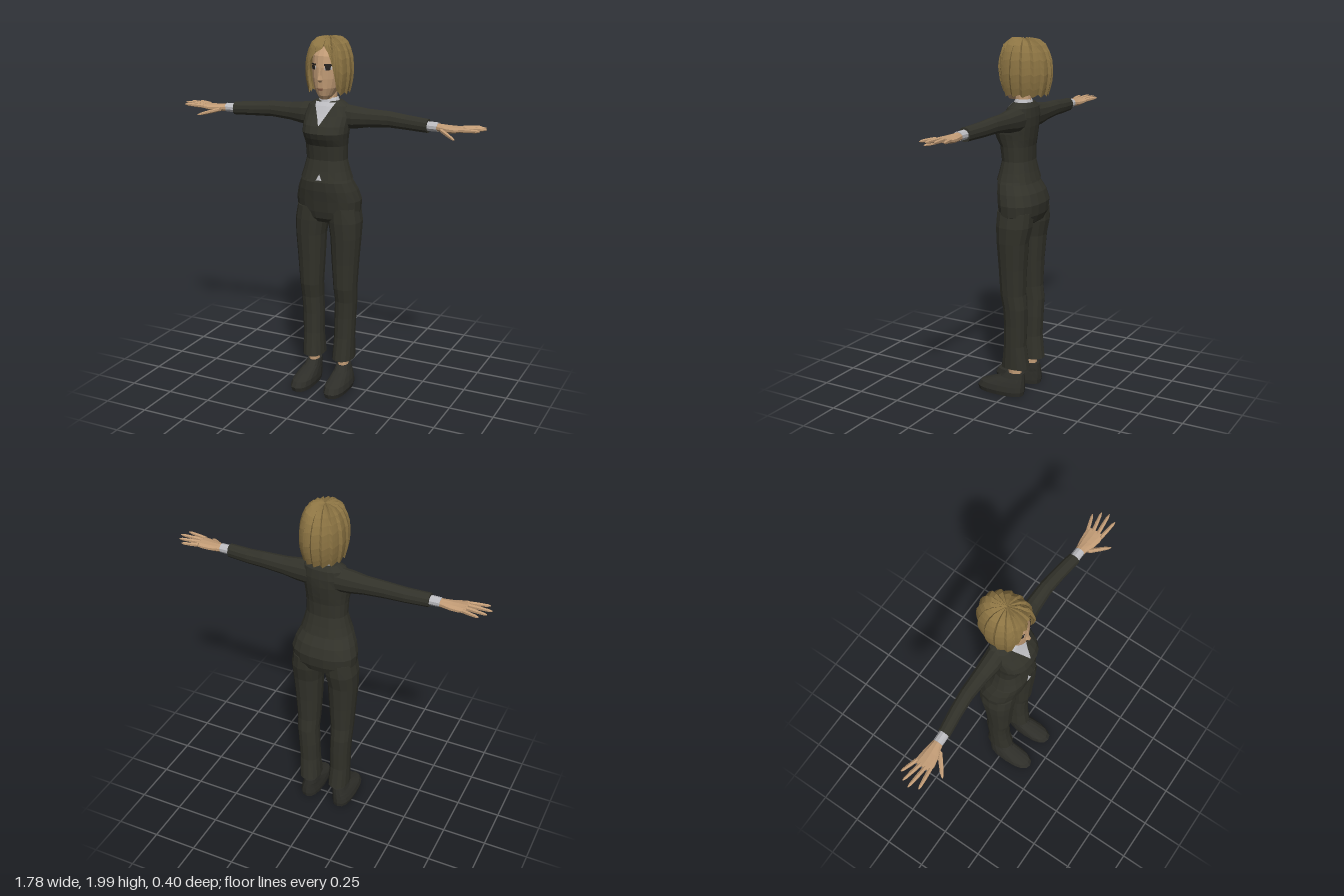
import * as THREE from 'three';

const mat = (name, color, side = THREE.FrontSide) => {
  const m = new THREE.MeshStandardMaterial({ color, side });
  m.name = name;
  return m;
};

// Superellipse cross-section across the y axis: [y, centre x, half width, front z, back z]
const ringY = ([y, cx, rx, zf, zb], e, n) => section(e, n, (c, s) =>
  new THREE.Vector3(cx + rx * c, y, (zf + zb) / 2 + (zf - zb) / 2 * s));
// Cross-section across the x axis: [x, centre y, centre z, half height, half depth]
const ringX = ([x, cy, cz, ry, rz], e, n) => section(e, n, (c, s) =>
  new THREE.Vector3(x, cy + ry * c, cz + rz * s));

function section(e, n, place) {
  const pow = v => Math.sign(v) * Math.abs(v) ** e;
  return Array.from({ length: n }, (_, i) => {
    const a = (i / n) * Math.PI * 2;
    return place(pow(Math.cos(a)), pow(Math.sin(a)));
  });
}

function facets(tris) {
  const g = new THREE.BufferGeometry().setFromPoints(tris);
  g.computeVertexNormals();
  return g;
}

// Closed, faceted skin over a list of sections, always facing outwards
function loft(rings) {
  const t = [], n = rings[0].length;
  for (let r = 0; r < rings.length - 1; r++) for (let i = 0; i < n; i++) {
    const j = (i + 1) % n, [a, b, c, d] = [rings[r][i], rings[r][j], rings[r + 1][j], rings[r + 1][i]];
    t.push(a, c, b, a, d, c);
  }
  const first = rings[0], last = rings[rings.length - 1];
  for (let i = 1; i < n - 1; i++) {
    t.push(first[0], first[i], first[i + 1], last[0], last[i + 1], last[i]);
  }
  let volume = 0;
  for (let i = 0; i < t.length; i += 3) volume += t[i].dot(t[i + 1].clone().cross(t[i + 2]));
  return facets(volume < 0 ? t.reverse() : t);
}

// Open grid of points, faceted
function sheet(rows) {
  const t = [];
  for (let r = 0; r < rows.length - 1; r++) for (let i = 0; i < rows[r].length - 1; i++) {
    const [a, b, c, d] = [rows[r][i], rows[r][i + 1], rows[r + 1][i + 1], rows[r + 1][i]];
    t.push(a, b, c, a, c, d);
  }
  return facets(t);
}

function lookup(table, x, col) {
  let i = 0;
  while (i < table.length - 2 && x > table[i + 1][0]) i++;
  const k = THREE.MathUtils.clamp((x - table[i][0]) / (table[i + 1][0] - table[i][0]), 0, 1);
  return THREE.MathUtils.lerp(table[i][col], table[i + 1][col], k);
}

// Thin panel lying on the front of a lofted body
function panel(rows, e, cx, cy, bottomW, topW, h, lift = 0.004) {
  const grid = [];
  for (let r = 0; r <= 6; r++) {
    const v = r / 6, y = cy + (v - 0.5) * h, w = THREE.MathUtils.lerp(bottomW, topW, v), row = [];
    for (let i = 0; i <= 6; i++) {
      const x = cx + (i / 6 - 0.5) * w;
      const zf = lookup(rows, y, 3), zb = lookup(rows, y, 4);
      const k = Math.max(0, 1 - Math.abs(x / lookup(rows, y, 2)) ** (2 / e)) ** (e / 2);
      row.push(new THREE.Vector3(x, y, (zf + zb) / 2 + (zf - zb) / 2 * k + lift));
    }
    grid.push(row);
  }
  return sheet(grid);
}

const JACKET = [
  [1.235, 0, 0.145, 0.1, -0.11], [1.28, 0, 0.13, 0.088, -0.098], [1.34, 0, 0.114, 0.075, -0.085],
  [1.42, 0, 0.117, 0.085, -0.087], [1.46, 0, 0.122, 0.108, -0.094], [1.49, 0, 0.127, 0.12, -0.098],
  [1.53, 0, 0.128, 0.105, -0.103], [1.58, 0, 0.13, 0.066, -0.105], [1.63, 0, 0.115, 0.036, -0.1],
  [1.655, 0, 0.075, 0.012, -0.085],
];
const HIPS = [
  [0.985, 0, 0.1, 0.045, -0.09], [1.01, 0, 0.155, 0.064, -0.13], [1.05, 0, 0.182, 0.074, -0.146],
  [1.11, 0, 0.186, 0.082, -0.152], [1.17, 0, 0.17, 0.092, -0.135], [1.22, 0, 0.148, 0.095, -0.105],
  [1.27, 0, 0.12, 0.08, -0.09],
];
const LEG = [
  [0.165, 0.092, 0.06, 0.048, -0.115], [0.3, 0.097, 0.057, 0.03, -0.097], [0.42, 0.099, 0.059, 0.026, -0.102],
  [0.52, 0.104, 0.06, 0.03, -0.104], [0.6, 0.104, 0.064, 0.046, -0.095], [0.75, 0.104, 0.074, 0.053, -0.1],
  [0.9, 0.106, 0.083, 0.063, -0.112], [0.99, 0.1, 0.091, 0.069, -0.132], [1.07, 0.092, 0.085, 0.068, -0.135],
];
const SHOE = [
  [0, 0.103, 0.057, 0.192, -0.087], [0.025, 0.104, 0.062, 0.2, -0.092], [0.055, 0.102, 0.058, 0.182, -0.092],
  [0.08, 0.099, 0.05, 0.115, -0.09], [0.1, 0.095, 0.043, 0.055, -0.088], [0.128, 0.092, 0.036, 0.022, -0.085],
];
const HEAD = [
  [1.668, 0, 0.022, 0.052, 0], [1.69, 0, 0.042, 0.068, -0.05], [1.73, 0, 0.064, 0.08, -0.085],
  [1.78, 0, 0.076, 0.083, -0.1], [1.84, 0, 0.082, 0.083, -0.11], [1.9, 0, 0.078, 0.073, -0.11],
  [1.95, 0, 0.05, 0.04, -0.08],
];
const SLEEVE = [
  [0.07, 1.572, -0.038, 0.068, 0.055], [0.15, 1.57, -0.035, 0.062, 0.052], [0.23, 1.572, -0.037, 0.05, 0.044],
  [0.35, 1.575, -0.038, 0.044, 0.038], [0.45, 1.569, -0.03, 0.04, 0.036], [0.575, 1.564, -0.014, 0.037, 0.034],
];
const HAND = [
  [0.6, 1.564, -0.012, 0.021, 0.022], [0.645, 1.562, -0.01, 0.021, 0.03], [0.69, 1.56, -0.006, 0.02, 0.043],
  [0.735, 1.562, -0.003, 0.017, 0.05], [0.77, 1.567, -0.004, 0.012, 0.05],
];
// Each finger: base x, y, z, then tip x, y, z
const FINGERS = [
  [0.755, 1.567, -0.044, 0.845, 1.572, -0.072], [0.76, 1.569, -0.016, 0.878, 1.575, -0.038],
  [0.76, 1.569, 0.012, 0.892, 1.576, 0.002], [0.755, 1.567, 0.036, 0.87, 1.573, 0.05],
  [0.655, 1.555, 0.018, 0.755, 1.53, 0.102],
];

// Hair outline: [fraction from crown, radius, height], and how far it falls at each angle
const HAIR = [
  [0, 0, 1.99], [0.16, 0.45, 1.985], [0.33, 0.8, 1.945], [0.5, 0.96, 1.88],
  [0.67, 1, 1.815], [0.84, 0.95, 1.75], [1, 0.83, 1.69],
];
const FALL = [
  [-180, 1], [-60, 1], [-48, 0.93], [-40, 0.63], [-20, 0.44], [0, 0.38], [12, 0.33],
  [25, 0.42], [38, 0.63], [46, 0.93], [56, 1], [180, 1],
];

function hairGeometry() {
  const rows = [], cols = 60;
  for (let r = 0; r <= 10; r++) {
    const row = [];
    for (let i = 0; i <= cols; i++) {
      const deg = (i / cols) * 360 - 180, a = THREE.MathUtils.degToRad(deg);
      const step = (i % 4) / 3;                       // overlapping locks
      const t = (r / 10) * lookup(FALL, deg, 1) * (1 - 0.04 * step);
      const rad = lookup(HAIR, t, 1) * (1 - 0.07 * step), back = Math.cos(a) < 0;
      row.push(new THREE.Vector3(
        0.127 * rad * Math.sin(a),
        lookup(HAIR, t, 2) + 0.012 * (1 - step) * Math.sin(Math.PI * Math.min(1, t * 2)),
        -0.035 + (back ? 0.162 : 0.148) * rad * Math.cos(a)));
    }
    rows.push(row);
  }
  return sheet(rows);
}

export function createModel() {
  const model = new THREE.Group();
  model.name = 'suitedWoman';
  const suit = mat('suit', 0x32322a), shoe = mat('shoe', 0x2e2e29), skin = mat('skin', 0xc29c76);
  const hair = mat('hair', 0x8c7443, THREE.DoubleSide), shirt = mat('shirt', 0xbcbcc0, THREE.DoubleSide);
  const dark = mat('eye', 0x25211e, THREE.DoubleSide), lip = mat('lips', 0x94684f, THREE.DoubleSide);
  const add = (name, geometry, material) => {
    const mesh = new THREE.Mesh(geometry, material);
    mesh.name = name;
    model.add(mesh);
  };
  const upright = (rows, e = 1, n = 16, s = 1) =>
    loft(rows.map(([y, cx, ...rest]) => ringY([y, cx * s, ...rest], e, n)));
  const sideways = (rows, s, e = 1, n = 10) =>
    loft(rows.map(([x, ...rest]) => ringX([x * s, ...rest], e, n)));

  // Clothed body
  add('jacket', upright(JACKET, 0.85, 20), suit);
  add('hips', upright(HIPS, 0.85, 18), suit);
  add('shirtFront', panel(JACKET, 0.85, 0, 1.592, 0.004, 0.12, 0.115), shirt);
  add('shirtTail', panel(JACKET, 0.85, 0, 1.251, 0.034, 0.002, 0.032), shirt);
  add('collar', upright([[1.635, 0, 0.066, 0.026, -0.088], [1.662, 0, 0.055, 0.016, -0.078],
    [1.672, 0, 0.05, 0.008, -0.074]], 1, 14), shirt);

  // Neck, head and face
  add('neck', upright([[1.63, 0, 0.045, 0.012, -0.075], [1.74, 0, 0.042, 0.02, -0.075]], 1, 12), skin);
  add('head', upright(HEAD, 0.95, 18), skin);
  add('nose', upright([[1.764, 0, 0.01, 0.086, 0.06], [1.776, 0, 0.015, 0.103, 0.06],
    [1.8, 0, 0.009, 0.095, 0.06], [1.845, 0, 0.006, 0.085, 0.06]], 1, 6), skin);
  add('mouth', panel(HEAD, 0.95, 0, 1.725, 0.022, 0.036, 0.013), lip);
  add('hair', hairGeometry(), hair);

  for (const s of [1, -1]) {
    const side = s > 0 ? 'left' : 'right';
    add(side + 'EyeWhite', panel(HEAD, 0.95, 0.042 * s, 1.838, 0.03, 0.036, 0.018, 0.003), shirt);
    add(side + 'Eye', panel(HEAD, 0.95, 0.042 * s, 1.84, 0.022, 0.026, 0.022, 0.005), dark);
    add(side + 'Brow', panel(HEAD, 0.95, 0.043 * s, 1.856, 0.042, 0.04, 0.009, 0.005), dark);

    // Arm and hand
    add(side + 'Sleeve', sideways(SLEEVE, s, 0.9, 12), suit);
    add(side + 'Cuff', sideways([[0.56, 1.564, -0.013, 0.026, 0.027],
      [0.63, 1.564, -0.011, 0.025, 0.027]], s), shirt);
    add(side + 'Hand', sideways(HAND, s), skin);
    FINGERS.forEach(([x0, y0, z0, x1, y1, z1], i) => {
      const rows = [[0, 0.011], [0.45, 0.0105], [0.85, 0.008], [1, 0.003]].map(([k, r]) => [
        x0 + (x1 - x0) * k, y0 + (y1 - y0) * k, z0 + (z1 - z0) * k, r, i === 4 ? r * 1.6 : r]);
      add(side + (i === 4 ? 'Thumb' : 'Finger' + (i + 1)), sideways(rows, s, 1, 6), skin);
    });

    // Leg and foot
    add(side + 'TrouserLeg', upright(LEG, 0.85, 14, s), suit);
    add(side + 'Ankle', upright([[0.1, 0.092, 0.03, 0.012, -0.07],
      [0.19, 0.092, 0.028, 0.008, -0.066]], 1, 10, s), skin);
    add(side + 'Shoe', upright(SHOE, 0.8, 16, s), shoe);
  }
  return model;
}
